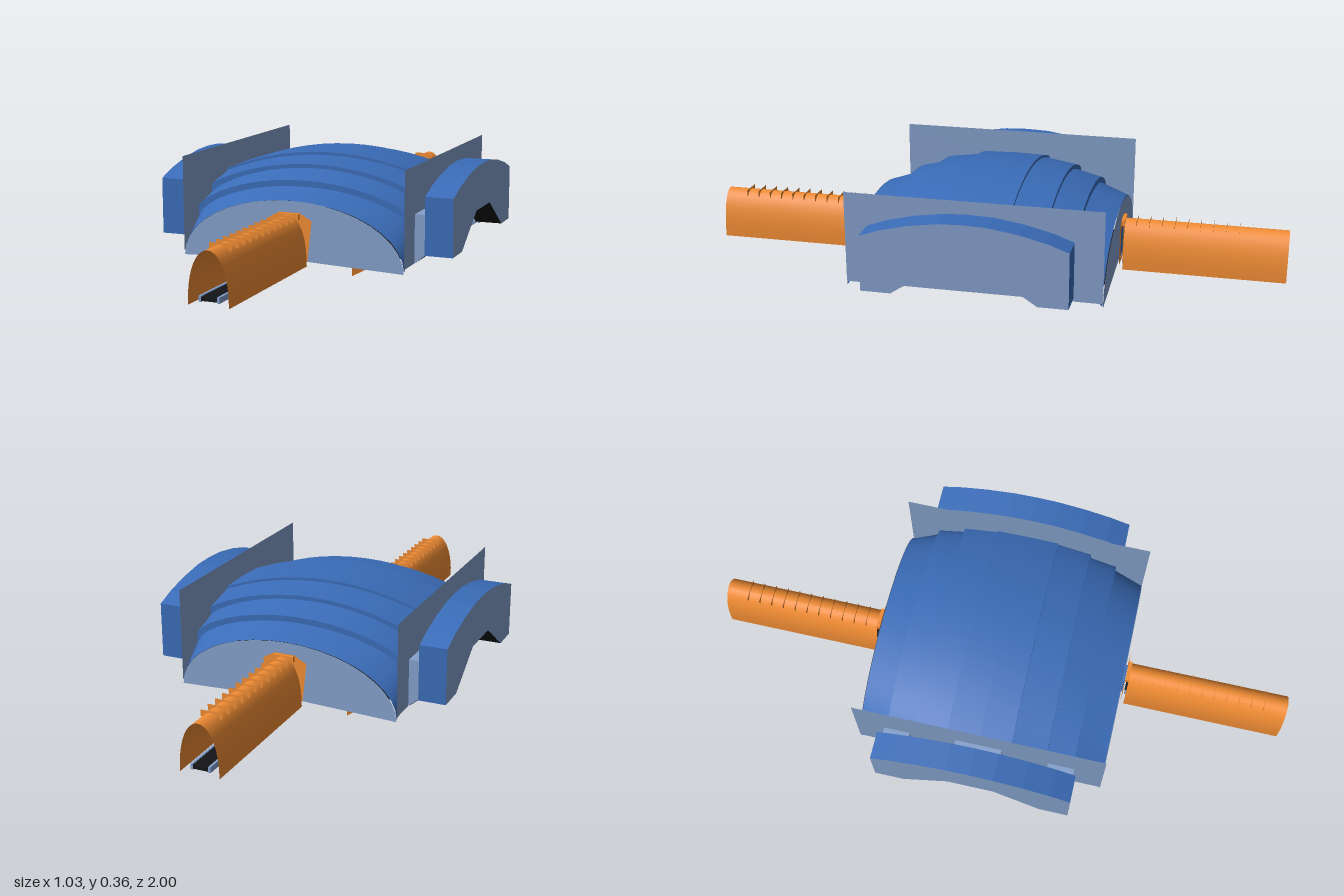
import * as THREE from 'three';

const mat = (color, flatShading = false) =>
  new THREE.MeshStandardMaterial({ color, flatShading, side: THREE.DoubleSide });
const blue = mat(0x3a6cb8), blueFlat = mat(0x3a6cb8, true), pale = mat(0x84a0cb, true);
const orange = mat(0xf08c34), orangeFlat = mat(0xf08c34, true), black = mat(0x141518, true);

// Surface through equal-length rows of [x, y, z] points
function loft(rows) {
  const n = rows[0].length, index = [];
  for (let r = 0; r < rows.length - 1; r++) {
    for (let i = 0; i < n - 1; i++) {
      const a = r * n + i, b = a + n;
      index.push(a, b, a + 1, a + 1, b, b + 1);
    }
  }
  const g = new THREE.BufferGeometry();
  g.setAttribute('position', new THREE.Float32BufferAttribute(rows.flat(2), 3));
  g.setIndex(index);
  g.computeVertexNormals();
  return g;
}

function add(parent, name, geometry, material, x = 0, y = 0, z = 0) {
  const m = new THREE.Mesh(geometry, material);
  m.name = name;
  m.position.set(x, y, z);
  parent.add(m);
  return m;
}

const box = (w, h, d) => new THREE.BoxGeometry(w, h, d);
const shapeOf = pts => new THREE.Shape(pts.map(p => new THREE.Vector2(...p)));

// Roof height falls from a shallow arch at the middle to a half ellipse at the ends
const HALF = 0.385, SEG = 20;
function archRow(z, top, edge, power) {
  const row = [];
  for (let i = 0; i <= SEG; i++) {
    const u = -Math.cos(Math.PI * i / SEG);
    row.push([HALF * u, edge + (top - edge) * Math.pow(Math.max(0, 1 - u * u), power), z]);
  }
  return row;
}

function buildBody() {
  const g = new THREE.Group();
  g.name = 'body';
  // Stepped roof: z, crown height, edge height, arch power
  const half = [
    [0, 0.357, 0.28, 1], [0.11, 0.355, 0.277, 1], [0.11, 0.345, 0.268, 0.97],
    [0.23, 0.331, 0.24, 0.87], [0.23, 0.318, 0.212, 0.8], [0.325, 0.292, 0.18, 0.7],
    [0.325, 0.272, 0.145, 0.62], [0.428, 0.243, 0.04, 0.5],
  ];
  const rows = [...half.slice(1).reverse().map(([z, ...r]) => [-z, ...r]), ...half]
    .map(s => archRow(...s));
  for (let i = 0; i < rows.length - 1; i++) add(g, 'roofBand', loft([rows[i], rows[i + 1]]), blue);

  // End walls and tall side plates
  const wall = archRow(0, 0.243, 0.035, 0.5).map(p => [p[0], p[1]]);
  wall.push([0, 0.05]);
  for (const s of [-1, 1]) {
    add(g, 'endWall', new THREE.ShapeGeometry(shapeOf(wall)), pale, 0, 0, s * 0.43);
    add(g, 'sidePlate', new THREE.PlaneGeometry(0.86, 0.315), pale, s * 0.386, 0.2075, 0)
      .rotation.y = s * Math.PI / 2;
  }

  // Underside with cut corners, turntable disc and central ring
  const base = shapeOf([[0.383, 0.23], [0.22, 0.428], [-0.22, 0.428], [-0.383, 0.23],
    [-0.383, -0.23], [-0.22, -0.428], [0.22, -0.428], [0.383, -0.23]]);
  add(g, 'basePlate', new THREE.ShapeGeometry(base), black, 0, 0.052, 0).rotation.x = Math.PI / 2;
  add(g, 'turntable', new THREE.CylinderGeometry(0.25, 0.25, 0.004, 40), black, 0, 0.05, 0);
  const ring = [[0.022, 0.046], [0.03, 0.04], [0.03, 0.035], [0.05, 0.035], [0.05, 0.047], [0.095, 0.047]];
  add(g, 'pivotRing', new THREE.LatheGeometry(ring.map(p => new THREE.Vector2(...p)), 32), orangeFlat);
  return g;
}

// Pair of pointed teeth, each with a steep front edge and a sloping back
function buildClaw(sx, sz) {
  const g = new THREE.Group();
  g.name = 'claw';
  for (const [x, z] of [[0.195, 0.385], [0.165, 0.305]]) {
    const p = (dx, y, dz) => [sx * (x + dx), y, sz * (z + dz)];
    const tip = p(0, 0.003, 0), top = p(0, 0.048, 0);
    const rim = [top, p(0.08, 0.045, -0.062), p(0.012, 0.048, -0.07), top];
    add(g, 'clawTooth', loft([rim.map(() => tip), rim]), orangeFlat);
  }
  return g;
}

// Arched side pod joined to the body by three struts
function buildPod(s) {
  const g = new THREE.Group();
  g.name = 'sidePod';
  const outer = [[-0.34, 0.08], [-0.34, 0.27], [-0.27, 0.295], [-0.18, 0.317], [-0.08, 0.332],
    [0, 0.335], [0.08, 0.332], [0.18, 0.317], [0.27, 0.295], [0.34, 0.27], [0.34, 0.08]];
  const under = [[0.34, 0.08], [0.24, 0.08], [0.08, 0.185], [-0.08, 0.185], [-0.24, 0.08], [-0.34, 0.08]];
  const band = pts => loft([0.423, 0.516].map(x => pts.map(([z, y]) => [s * x, y, z])));
  add(g, 'podShell', band(outer), blueFlat);
  add(g, 'podUnderside', band(under), black);
  for (const x of [0.423, 0.516]) {
    const cap = new THREE.ShapeGeometry(shapeOf([...outer, ...under.slice(1, -1)]));
    cap.rotateY(-Math.PI / 2);
    add(g, 'podFace', cap, pale, s * x, 0, 0);
  }
  add(g, 'middleStrut', box(0.037, 0.08, 0.16), pale, s * 0.404, 0.208, 0);
  for (const z of [-0.285, 0.285]) {
    const ring = [[0.386, 0.05], [0.386, 0.21], [0.423, 0.21], [0.423, 0.08]];
    const strut = new THREE.ExtrudeGeometry(shapeOf(ring.map(([x, y]) => [s * x, y])),
      { depth: 0.09, bevelEnabled: false });
    add(g, 'endStrut', strut, pale, 0, 0, z - 0.045);
    add(g, 'strutFoot', loft([z - 0.045, z + 0.045].map(q =>
      [[s * 0.387, 0.049, q], [s * 0.424, 0.079, q]])), black);
  }
  return g;
}

// Long open-bottomed arm with teeth along its crest and an inner rail
function buildArm() {
  const g = new THREE.Group();
  g.name = 'arm';
  const section = [];
  for (let i = 0; i <= 20; i++) {
    const a = Math.PI * (1 - i / 20);
    section.push([0.065 * Math.cos(a), 0.038 + 0.164 * Math.pow(Math.max(0, Math.sin(a)), 0.85)]);
  }
  add(g, 'armShell', loft([0.45, 1].map(z => section.map(([x, y]) => [x, y, z]))), orange);

  // Thin upright teeth
  const tooth = new THREE.PlaneGeometry(0.072, 0.022);
  for (let i = 0; i < 11; i++) add(g, 'crestTooth', tooth, orangeFlat, 0, 0.196, 0.49 + i * 0.043);

  // Framed opening where the arm meets the body
  const frame = shapeOf([[-0.062, 0.05], [-0.077, 0.183], [-0.036, 0.207],
    [0.036, 0.207], [0.077, 0.183], [0.062, 0.05]]);
  frame.holes.push(new THREE.Path([[-0.031, 0.065], [0.031, 0.065], [0.031, 0.175], [-0.031, 0.175]]
    .map(p => new THREE.Vector2(...p))));
  add(g, 'mountFrame', new THREE.ShapeGeometry(frame), orangeFlat, 0, 0, 0.438);
  add(g, 'neck', box(0.07, 0.02, 0.012), orangeFlat, 0, 0.195, 0.444);
  add(g, 'innerBlock', box(0.062, 0.11, 0.006), blue, 0, 0.12, 0.434);

  add(g, 'rail', box(0.05, 0.012, 0.55), black, 0, 0.058, 0.72);
  for (const s of [-1, 1]) add(g, 'railEdge', box(0.008, 0.018, 0.55), pale, s * 0.029, 0.058, 0.72);
  return g;
}

export function createModel() {
  const model = new THREE.Group();
  model.name = 'model';
  model.add(buildBody());
  for (const s of [-1, 1]) {
    model.add(buildPod(s));
    const arm = buildArm();
    if (s < 0) arm.rotation.y = Math.PI;
    model.add(arm);
    for (const t of [-1, 1]) model.add(buildClaw(s, t));
  }
  return model;
}
